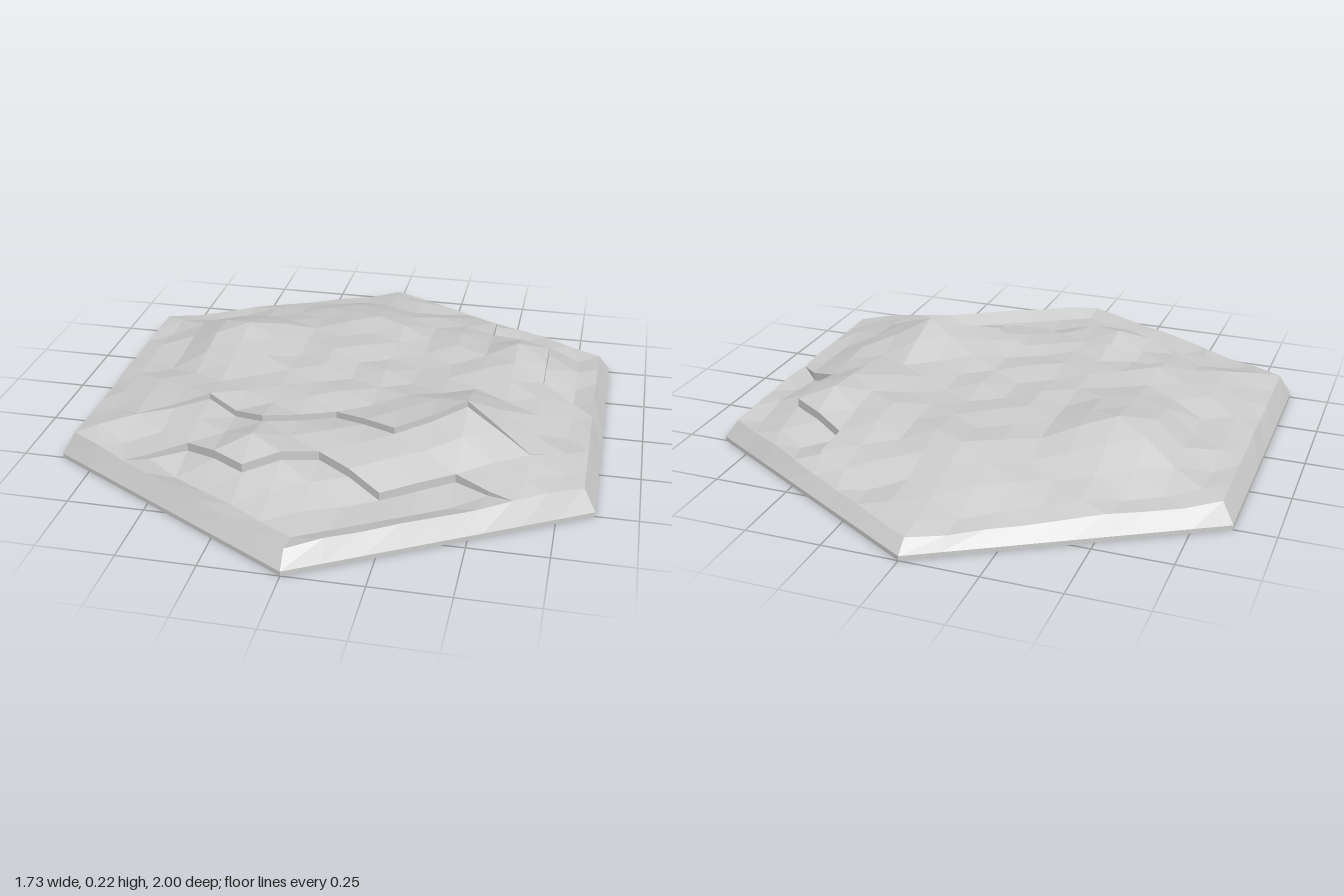
import * as THREE from 'three';

const N = 8, STEP = 1 / N, INSET = 0.955;
const clamp = THREE.MathUtils.clamp, smooth = THREE.MathUtils.smoothstep;

// Hills and hollows: x, z, height, radius
const BUMPS = [
  [-0.43, -0.25, 0.07, 0.17], [0.43, 0.25, 0.075, 0.17], [-0.21, 0.55, 0.06, 0.17],
  [0.6, -0.3, 0.045, 0.2], [0, 0, 0.02, 0.25], [0.1, 0.4, 0.025, 0.2],
  [-0.55, 0.2, 0.015, 0.2], [0, -0.5, 0.02, 0.25], [0.4, -0.6, 0.02, 0.15],
];

// Small repeatable noise per lattice point
function noise(i, j) {
  const s = Math.sin(i * 127.1 + j * 311.7) * 43758.5453;
  return (s - Math.floor(s)) * 2 - 1;
}

const ring = (i, j) => Math.max(Math.abs(i), Math.abs(j), Math.abs(i + j));
const place = (i, j, k = 1) => [i * STEP * Math.sqrt(0.75) * k, (j + i / 2) * STEP * k];

// Zigzag ledges across the front, following the lattice
function zigzag(x) {
  const period = Math.sqrt(0.75) / 2;
  return Math.abs(x - Math.round(x / period) * period) / Math.sqrt(3);
}

// Ledge running down the +x side
function sideLedge(z) {
  if (z < -0.25) return clamp(0.43 + (z + 0.5) * 1.73, 0.43, 0.65);
  return clamp(0.65 + (z + 0.125) * 1.73, 0.65, 0.866);
}

// Ground height at a lattice point, as seen from the terrace holding (cx, cz)
function height(i, j, cx, cz) {
  const r = ring(i, j) / N;
  const [x, z] = place(i, j, r === 1 ? INSET : 1);
  const rim = 0.058 + 0.027 * Math.abs(x) + 0.012 * z;
  if (r === 1) return rim + 0.007 * noise(i, j);
  const inner = smooth(1 - r, 0, 0.5);
  let y = rim + 0.065 * inner + 0.012 * noise(i, j);
  for (const [bx, bz, h, w] of BUMPS) y += h * Math.exp(-((x - bx) ** 2 + (z - bz) ** 2) / (w * w));
  // Drops below each ledge, fading out at its ends
  const front = 1 - smooth(Math.abs(x), 0.4, 0.7);
  if (cz > 0.25 + zigzag(cx)) y -= 0.022 * front;
  if (cz > 0.5 + zigzag(cx)) y -= 0.03 * front;
  if (cx > sideLedge(cz)) y -= 0.03 * (1 - smooth(z, 0.0, 0.3)) * smooth(z, -0.75, -0.5);
  return Math.max(y, 0.05);
}

function makeMesh(name, positions) {
  const geometry = new THREE.BufferGeometry();
  geometry.setAttribute('position', new THREE.Float32BufferAttribute(positions, 3));
  geometry.computeVertexNormals();
  const mesh = new THREE.Mesh(geometry, new THREE.MeshStandardMaterial({
    color: 0xcccccc, flatShading: true, side: THREE.DoubleSide,
  }));
  mesh.name = name;
  return mesh;
}

// Triangulated ground, with small walls wherever two terraces meet
function buildGround() {
  const ground = [], walls = [], edges = new Map();
  const addTriangle = (corners) => {
    if (corners.some(([i, j]) => ring(i, j) > N)) return;
    const flat = corners.map(([i, j]) => place(i, j));
    const cx = (flat[0][0] + flat[1][0] + flat[2][0]) / 3;
    const cz = (flat[0][1] + flat[1][1] + flat[2][1]) / 3;
    const points = corners.map(([i, j]) => {
      const [x, z] = place(i, j, ring(i, j) === N ? INSET : 1);
      return [x, height(i, j, cx, cz), z];
    });
    points.forEach((p) => ground.push(...p));
    for (let n = 0; n < 3; n++) {
      const m = (n + 1) % 3;
      const other = edges.get(`${corners[m]}|${corners[n]}`);
      const a = points[n], b = points[m];
      edges.set(`${corners[n]}|${corners[m]}`, [a, b]);
      if (!other) continue;
      const [d, c] = other;
      if (Math.abs(a[1] - c[1]) + Math.abs(b[1] - d[1]) > 0.001) {
        walls.push(...a, ...c, ...b, ...b, ...c, ...d);
      }
    }
  };
  for (let i = -N; i < N; i++) {
    for (let j = -N; j < N; j++) {
      addTriangle([[i, j], [i, j + 1], [i + 1, j]]);
      addTriangle([[i + 1, j], [i, j + 1], [i + 1, j + 1]]);
    }
  }
  return [makeMesh('ground', ground), makeMesh('ledges', walls)];
}

// Sloped border and the thin upright foot beneath it
function buildBorder() {
  const slope = [], foot = [];
  const corners = [[N, 0], [0, N], [-N, N], [-N, 0], [0, -N], [N, -N]];
  const quad = (out, p, q, p2, q2) => out.push(...p, ...p2, ...q, ...q, ...p2, ...q2);
  const at = (i, j, y, k) => {
    const [x, z] = place(i, j, k);
    return [x, y, z];
  };
  corners.forEach(([i0, j0], c) => {
    const [i1, j1] = corners[(c + 1) % 6];
    const di = (i1 - i0) / N, dj = (j1 - j0) / N;
    for (let n = 0; n < N; n++) {
      const a = [i0 + di * n, j0 + dj * n], b = [a[0] + di, a[1] + dj];
      const [pa, pb] = [a, b].map((e) => at(...e, 0.015, 1));
      quad(slope, pa, pb, at(...a, height(...a, 0, 0), INSET), at(...b, height(...b, 0, 0), INSET));
      quad(foot, at(...a, 0, 1), at(...b, 0, 1), pa, pb);
    }
  });
  return [makeMesh('slopedBorder', slope), makeMesh('foot', foot)];
}

export function createModel() {
  const group = new THREE.Group();
  group.name = 'hexTerrainTile';
  group.add(...buildGround(), ...buildBorder());
  return group;
}
